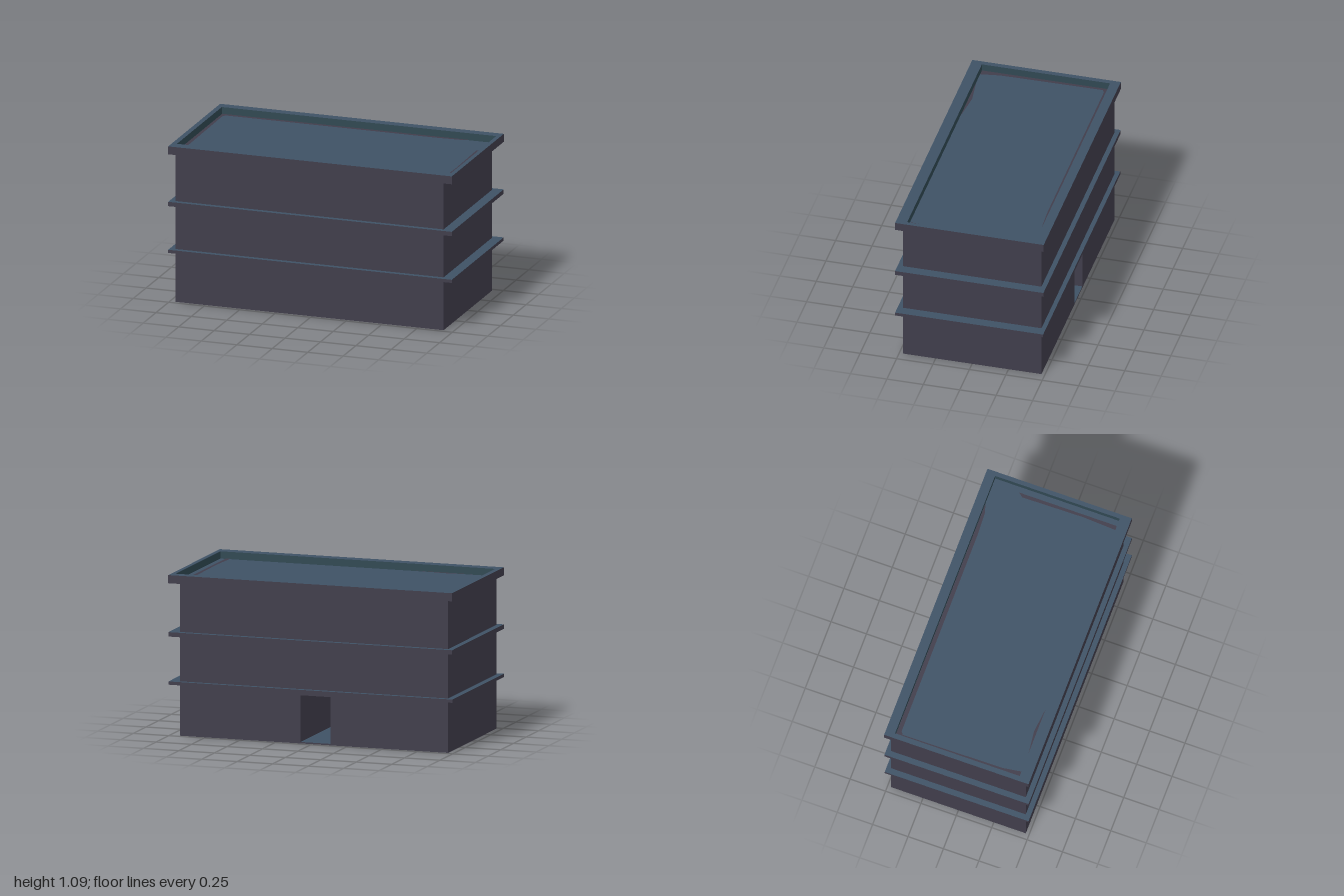
import * as THREE from 'three';

function flat(name, color) {
  const m = new THREE.MeshStandardMaterial({ color });
  m.name = name;
  return m;
}

export function createModel() {
  const model = new THREE.Group();
  model.name = 'building';
  const wall = flat('wallGrey', 0x403d4b);
  const deck = flat('deckBlue', 0x3e5165);
  const soffit = flat('soffitMaroon', 0x30081a);
  const lining = flat('parapetTeal', 0x304852);
  const palette = [wall, deck, soffit, lining];

  // Plan outline; z runs opposite to the shape's y
  const plan = (points) => new THREE.Shape(points.map(([x, z]) => new THREE.Vector2(x, -z)));
  const rect = (x0, x1, z0, z1) => [[x0, z1], [x1, z1], [x1, z0], [x0, z0]];

  // Raises a plan from y0 to y1 and colours faces by the way they point
  function raise(name, shape, y0, y1, lined = false) {
    const extruded = new THREE.ExtrudeGeometry(shape, { depth: y1 - y0, bevelEnabled: false });
    const geo = extruded.index ? extruded.toNonIndexed() : extruded;
    geo.rotateX(-Math.PI / 2).translate(0, y0, 0);
    geo.clearGroups();
    const p = geo.attributes.position;
    const n = geo.attributes.normal;
    for (let i = 0; i < p.count; i += 3) {
      const ny = n.getY(i);
      const inward = p.getX(i) * n.getX(i) + p.getZ(i) * n.getZ(i) < 0;
      const slot = ny > 0.5 ? 1 : ny < -0.5 ? 2 : lined && inward ? 3 : 0;
      geo.addGroup(i, 3, slot);
    }
    const mesh = new THREE.Mesh(geo, palette);
    mesh.name = name;
    model.add(mesh);
  }

  // Ground storey with a deep doorway in the back
  const [x0, x1, z0, z1] = [-0.96, 0.93, -0.476, 0.476];
  raise('groundSlab', plan(rect(x0, x1, z0, z1)), 0, 0.01);
  raise('groundWalls', plan([
    [x0, z1], [x1, z1], [x1, z0], [0.08, z0], [0.08, 0.3], [-0.13, 0.3], [-0.13, z0], [x0, z0],
  ]), 0.01, 0.325);

  // Upper storeys
  raise('upperWalls', plan(rect(x0, x1, z0, z1)), 0.325, 1.032);

  // Ledges between the storeys
  raise('lowerLedge', plan(rect(-1, 1, -0.506, 0.51)), 0.345, 0.367);
  raise('upperLedge', plan(rect(-1, 1, -0.508, 0.51)), 0.67, 0.7);

  // Parapet ring around the sunken roof
  const ring = plan(rect(-1, 1, -0.51, 0.51));
  ring.holes.push(new THREE.Path(
    rect(-0.965, 0.97, -0.445, 0.435).reverse().map(([x, z]) => new THREE.Vector2(x, -z))));
  raise('parapet', ring, 1.03, 1.085, true);
  raise('roofDeck', plan(rect(-0.966, 0.971, -0.446, 0.436)), 1.03, 1.036);

  // Worn grey margins along the roof edges
  const margins = [
    [[-0.95, -0.415], [0.55, -0.417], [0.72, -0.425], [0.78, -0.444], [-0.95, -0.444]],
    [[-0.962, 0.434], [-0.915, 0.434], [-0.935, 0.3], [-0.942, -0.4], [-0.92, -0.415], [-0.962, -0.444]],
    [[0.9, 0.434], [0.93, 0.434], [0.93, -0.26], [0.905, -0.23], [0.912, 0.2]],
    [[-0.82, 0.434], [-0.4, 0.434], [-0.62, 0.41]],
  ];
  for (const points of margins) {
    const geo = new THREE.ShapeGeometry(plan(points)).rotateX(-Math.PI / 2).translate(0, 1.039, 0);
    const mesh = new THREE.Mesh(geo, wall);
    mesh.name = 'roofMargin';
    model.add(mesh);
  }
  return model;
}
